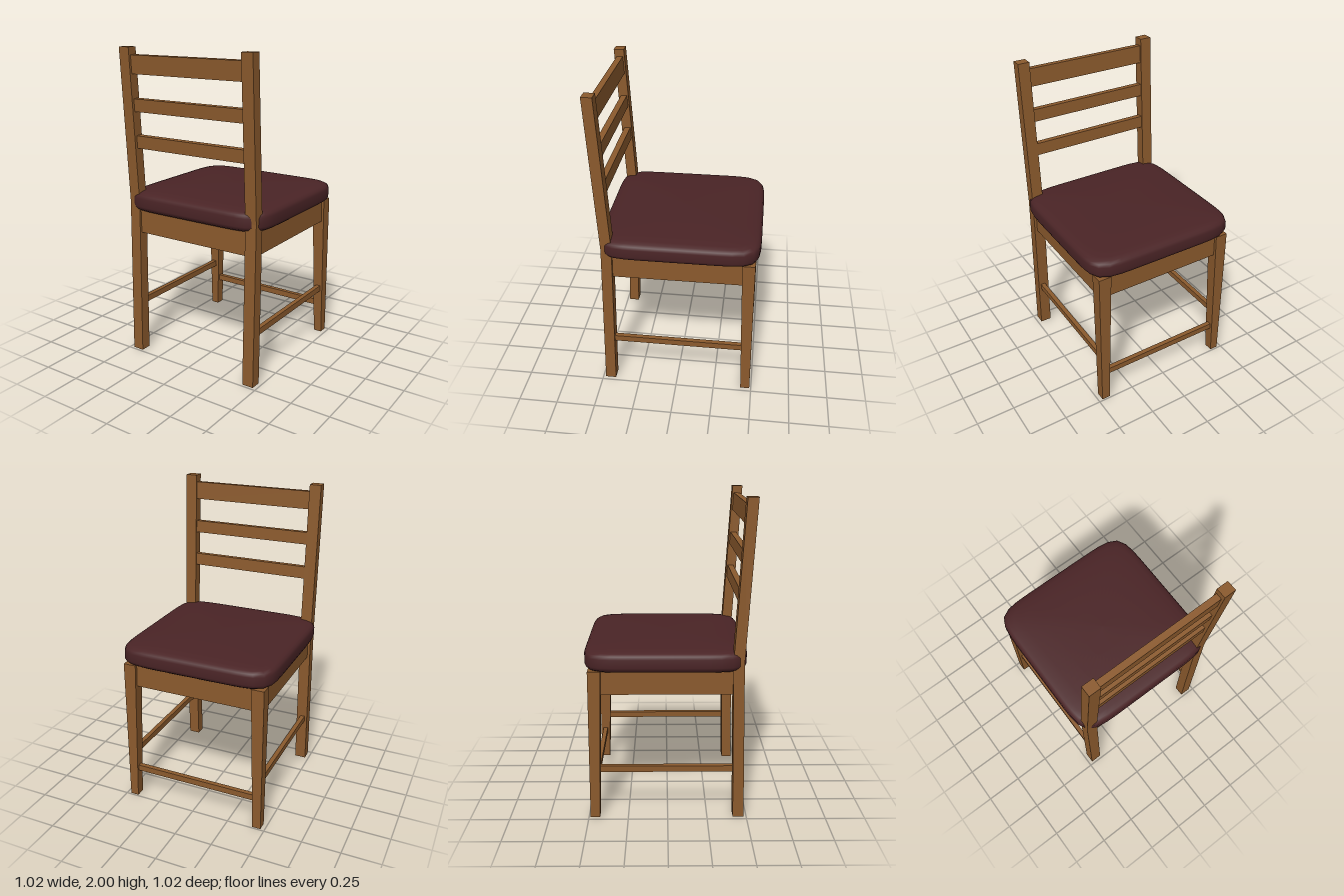
import * as THREE from 'three';

const wood = new THREE.MeshStandardMaterial({ color: 0x8b5a2d });
wood.name = 'wood';
const fabric = new THREE.MeshStandardMaterial({ color: 0x4a2426 });
fabric.name = 'seatFabric';

export function createModel() {
  const chair = new THREE.Group();
  chair.name = 'chair';

  const add = (name, geometry, material = wood) => {
    const mesh = new THREE.Mesh(geometry, material);
    mesh.name = name;
    chair.add(mesh);
    return mesh;
  };
  const bar = (name, w, h, d, x, y, z) => {
    const mesh = add(name, new THREE.BoxGeometry(w, h, d));
    mesh.position.set(x, y, z);
    return mesh;
  };

  for (const [side, s] of [['left', 1], ['right', -1]]) {
    // Back post: a bent side profile (z, y) given thickness in x
    const profile = new THREE.Shape([
      [0.414, 0], [0.483, 0], [0.459, 1.03], [0.51, 2], [0.445, 2], [0.392, 1.03],
    ].map(([z, y]) => new THREE.Vector2(z, y)));
    const post = new THREE.ExtrudeGeometry(profile, { depth: 0.075, bevelEnabled: false });
    post.rotateY(-Math.PI / 2).translate(s * 0.4375 + 0.0375, 0, 0);
    add(side + 'BackPost', post);

    // Front leg: tapers on the inner faces towards the floor
    const leg = new THREE.BoxGeometry(1, 0.975, 1).translate(0, 0.4875, 0);
    const p = leg.attributes.position;
    for (let i = 0; i < p.count; i++) {
      const top = p.getY(i) > 0.5;
      const inner = p.getX(i) * s < 0;
      const back = p.getZ(i) > 0;
      p.setX(i, s * (inner ? (top ? 0.39 : 0.418) : 0.473));
      p.setZ(i, back ? (top ? -0.403 : -0.43) : (top ? -0.483 : -0.49));
    }
    leg.computeVertexNormals();
    add(side + 'FrontLeg', leg);

    // Side apron and side stretcher
    bar(side + 'Apron', 0.04, 0.15, 0.81, s * 0.437, 0.9, -0.003);
    bar(side + 'Stretcher', 0.03, 0.04, 0.85, s * 0.443, 0.33, 0);
  }

  // Cross aprons and front stretcher
  bar('frontApron', 0.8, 0.15, 0.04, 0, 0.9, -0.445);
  bar('backApron', 0.81, 0.15, 0.04, 0, 0.9, 0.428);
  bar('frontStretcher', 0.84, 0.04, 0.03, 0, 0.21, -0.457);

  // Backrest rails, leaning with the posts
  for (const [name, y, h] of [['topRail', 1.897, 0.114], ['middleRail', 1.65, 0.08], ['lowerRail', 1.42, 0.08]]) {
    const rail = bar(name, 0.81, h, 0.04, 0, y, 0.418 + (y - 1.03) * 0.0595);
    rail.rotation.x = 0.055;
  }

  // Cushion: stacked rounded-square rings, crowned on top
  const rings = [
    [0, 0.975], [0.6, 0.975], [0.92, 0.975], [0.952, 0.976], [0.985, 0.988], [1, 1.008],
    [1, 1.06], [0.985, 1.078], [0.955, 1.09], [0.9, 1.097], [0.78, 1.104], [0.55, 1.11], [0.3, 1.113], [0, 1.115],
  ];
  const sides = 64, points = [], index = [];
  const squareness = (v) => Math.sign(v) * Math.abs(v);
  for (const [scale, y] of rings) {
    for (let i = 0; i < sides; i++) {
      const t = (i / sides) * Math.PI * 2;
      const c = squareness(Math.cos(t)), n = squareness(Math.sin(t));
      const r = scale / Math.pow(Math.abs(c) ** 8 + Math.abs(n) ** 8, 1 / 8);
      points.push(0.51 * r * c, y, 0.5 * r * n - 0.012);
    }
  }
  for (let j = 0; j < rings.length - 1; j++) {
    for (let i = 0; i < sides; i++) {
      const a = j * sides + i, b = j * sides + ((i + 1) % sides);
      index.push(a, a + sides, b, b, a + sides, b + sides);
    }
  }
  const cushion = new THREE.BufferGeometry();
  cushion.setAttribute('position', new THREE.Float32BufferAttribute(points, 3));
  cushion.setIndex(index);
  cushion.computeVertexNormals();
  add('seatCushion', cushion, fabric);

  return chair;
}
